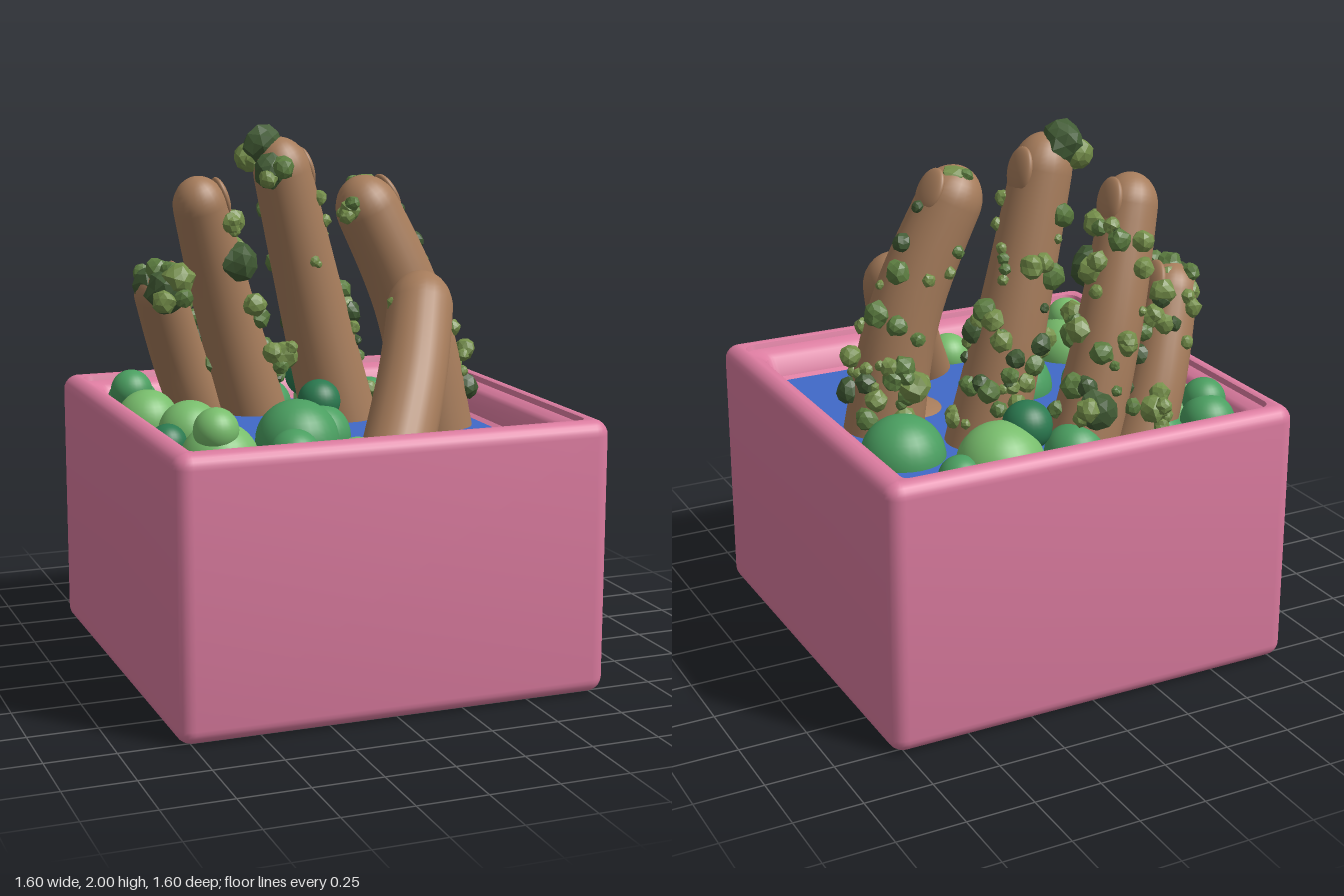
import * as THREE from 'three';
import { toCreasedNormals } from 'three/addons/utils/BufferGeometryUtils.js';

const V = (x, y, z) => new THREE.Vector3(x, y, z);
const paint = (name, color) => Object.assign(new THREE.MeshStandardMaterial({ color }), { name });

function seeded(seed) {
  return () => (seed = (seed * 16807) % 2147483647) / 2147483647;
}

// Skin a stack of closed rings, each counter-clockwise about the direction of travel
function loft(rings) {
  const n = rings[0].length, index = [];
  for (let i = 0; i < rings.length - 1; i++) {
    for (let j = 0; j < n; j++) {
      const k = (j + 1) % n, a = i * n + j, b = i * n + k;
      index.push(a, b, b + n, a, b + n, a + n);
    }
  }
  const geo = new THREE.BufferGeometry().setFromPoints(rings.flat());
  geo.setIndex(index);
  geo.computeVertexNormals();
  return geo;
}

// Rounded square ring of half width h and corner radius r at height y
function squareRing(h, y, r) {
  const ring = [];
  for (let c = 0; c < 4; c++) {
    const mid = Math.PI / 4 + c * Math.PI / 2;
    const cx = Math.sign(Math.cos(mid)) * (h - r), cz = Math.sign(Math.sin(mid)) * (h - r);
    for (let s = 0; s <= 6; s++) {
      const a = c * Math.PI / 2 + s * Math.PI / 12;
      ring.push(V(cx + r * Math.cos(a), y, -(cz + r * Math.sin(a))));
    }
  }
  return ring;
}

// Position, local axes and radius at t along a finger
function frameAt(f, t) {
  const T = f.curve.getTangent(t), side = V(1, 0, -0.15);
  const N = side.clone().addScaledVector(T, -side.dot(T)).normalize();
  const M = T.clone().cross(N);
  const cap = Math.max(0, (t - f.cap) / (1 - f.cap));
  const r = THREE.MathUtils.lerp(f.r0, f.r1, t) * Math.sqrt(Math.max(1e-5, 1 - cap * cap));
  return { P: f.curve.getPoint(t), T, N, M, r };
}

// Point on the finger's skin at t along and angle a around
function skinPoint(f, t, a) {
  const { P, N, M, r } = frameAt(f, t);
  return P.addScaledVector(N, r * Math.cos(a)).addScaledVector(M, r * Math.sin(a));
}

function fingerGeometry(f) {
  const ts = [];
  for (let i = 0; i <= 18; i++) ts.push(f.cap * i / 18);
  for (let i = 1; i <= 10; i++) ts.push(f.cap + (1 - f.cap) * Math.sin(i / 10 * Math.PI / 2));
  return loft(ts.map(t => Array.from({ length: 24 }, (_, j) => skinPoint(f, t, j / 12 * Math.PI))));
}

// Faceted, slightly lumpy clump
function clumpGeometry() {
  const geo = new THREE.IcosahedronGeometry(1, 1), p = geo.attributes.position;
  for (let i = 0; i < p.count; i++) {
    const v = V(0, 0, 0).fromBufferAttribute(p, i);
    v.multiplyScalar(1 + 0.1 * Math.sin(v.x * 7 + v.y * 5 + v.z * 9));
    p.setXYZ(i, v.x, v.y, v.z);
  }
  geo.computeVertexNormals();
  return geo;
}

export function createModel() {
  const root = new THREE.Group();
  const pink = paint('pink', 0xdb7b9f), blue = paint('blue', 0x4169c8), skin = paint('skin', 0xa67c5b);
  const bush = [paint('lightGreen', 0x78bd6c), paint('midGreen', 0x4a9e60), paint('deepGreen', 0x2b7a50)];
  const moss = [paint('lightMoss', 0x758f4a), paint('midMoss', 0x5c7d40), paint('darkMoss', 0x425c35)];
  const add = (name, geo, mat, parent = root) => {
    const m = new THREE.Mesh(geo, mat);
    m.name = name;
    parent.add(m);
    return m;
  };
  const group = name => {
    const g = new THREE.Group();
    g.name = name;
    root.add(g);
    return g;
  };

  // Open planter box with rounded edges and a stepped inner rim
  const profile = [[0.001, 0]], bevel = 0.055;
  for (const end of [0, 1]) {
    for (let i = 0; i <= 6; i++) {
      const a = (i / 6 + end - 1) * Math.PI / 2;
      profile.push([0.8 - bevel + bevel * Math.cos(a), end + bevel * (Math.sin(a) + 1 - 2 * end)]);
    }
  }
  const outer = profile.length;
  profile.push([0.735, 0.995], [0.73, 0.975], [0.69, 0.965], [0.675, 0.95], [0.655, 0.875], [0.625, 0.86], [0.62, 0.8]);
  const rings = profile.map(([h, y], i) =>
    squareRing(h, y, i >= outer ? 0.05 : Math.min(h * 0.5, Math.max(0.008, h - 0.74))));
  add('planter', toCreasedNormals(loft(rings), 0.6), pink);

  // Water surface
  add('water', new THREE.BoxGeometry(1.27, 0.03, 1.27), blue).position.y = 0.85;

  // Round bushes by shade: x, y, z, radius
  const ball = new THREE.SphereGeometry(1, 28, 20), bushes = group('bushes');
  const light = [
    [-.56, .87, -.39, .12], [-.47, .87, -.13, .12], [-.53, .88, .42, .14],
    [-.555, 1, .46, .08], [-.08, .88, .58, .085], [.25, .87, -.52, .16],
  ];
  const mid = [
    [-.57, .91, -.57, .1], [-.59, .97, -.51, .08], [-.35, .87, -.55, .12], [-.43, .87, .08, .095],
    [-.24, .87, .38, .095], [-.15, .87, .16, .155], [-.04, .87, .09, .12], [.42, .87, -.55, .08],
    [.51, .86, -.27, .155], [-.04, .87, -.53, .11],
  ];
  const deep = [[-.6, .87, .02, .07], [-.02, .99, .04, .08], [.13, .99, -.49, .09]];
  [light, mid, deep].forEach((list, shade) => list.forEach(([x, y, z, r]) => {
    const m = add('bush', ball, bush[shade], bushes);
    m.position.set(x, y, z);
    m.scale.setScalar(r);
  }));

  // Hand: base, middle and tip of each finger, radii, start of the round cap, moss count
  const hand = group('hand'), growth = group('moss');
  const fingers = [
    ['littleFinger', V(-.26, .75, -.56), V(-.4, 1.08, -.49), V(-.54, 1.46, -.36), .115, .095, .87, 24],
    ['ringFinger', V(-.07, .75, -.48), V(-.24, 1.3, -.42), V(-.39, 1.8, -.31), .135, .1, .89, 22],
    ['middleFinger', V(.2, .75, -.25), V(.06, 1.3, -.24), V(-.11, 1.95, -.19), .15, .105, .9, 40],
    ['indexFinger', V(.47, .75, .03), V(.36, 1.3, .02), V(.13, 1.81, 0), .15, .115, .88, 32],
    ['thumb', V(.04, .78, .58), V(.23, 1.14, .34), V(.37, 1.45, .1), .13, .12, .82, 0],
  ];
  const rand = seeded(4711), clump = clumpGeometry();
  const addMoss = (p, r, shade) => {
    const m = add('mossClump', clump, moss[shade], growth);
    m.position.copy(p);
    m.scale.setScalar(r);
    m.rotation.set(rand() * 6, rand() * 6, rand() * 6);
  };
  fingers.forEach(([name, a, b, c, r0, r1, cap, count]) => {
    const f = { curve: new THREE.CatmullRomCurve3([a, b, c]), r0, r1, cap };
    add(name, fingerGeometry(f), skin, hand);

    // Fingernail on the outer side
    if (name !== 'thumb') {
      const { P, T, N, M, r } = frameAt(f, 0.89);
      const nail = add('nail', ball, skin, hand);
      nail.position.copy(P).addScaledVector(N, r * 0.86);
      nail.quaternion.setFromRotationMatrix(new THREE.Matrix4().makeBasis(N, T, M.negate()));
      nail.scale.set(0.024, 0.085, 0.065);
    }

    // Moss scattered over the outer and back sides
    for (let i = 0; i < count; i++) {
      const p = skinPoint(f, 0.14 + 0.72 * Math.pow(rand(), 1.15), -0.7 + rand() * 2.7);
      addMoss(p, 0.018 + 0.032 * rand(), Math.floor(rand() * 2.4));
    }
  });

  // Palm just breaking the water
  const palm = add('palm', ball, skin, hand);
  palm.position.set(0.28, 0.79, 0.16);
  palm.scale.set(0.17, 0.1, 0.2);

  // Moss clusters: x, y, z, core radius, smaller lumps around a dark core
  [
    [-.14, 1.92, -.23, .078, 3], [-.14, 1.83, -.14, .065, 6], [-.5, 1.38, -.3, .085, 4],
    [-.54, 1.4, -.39, .07, 6], [-.22, 1.48, -.32, .08, 1], [-.26, 1.63, -.27, .04, 1],
    [-.15, 1.31, -.31, .045, 0], [-.1, 1.14, -.13, .055, 3], [.18, 1.77, -.02, .055, 2],
    [.09, 1.7, .07, .04, 3], [.02, 1.49, -.12, .025, 1], [.57, 1.15, .04, .04, 1],
    [.4, 1.37, .15, .035, 0], [.22, 1.36, .19, .03, 0], [.1, 1.06, .44, .022, 0],
    [.4, 1.06, -.13, .06, 3], [-.3, 1.02, -.63, .05, 2], [-.1, 1.04, -.58, .07, 3],
  ].forEach(([x, y, z, r, lumps]) => {
    addMoss(V(x, y, z), r, lumps > 2 && r > 0.06 || r === 0.08 ? 2 : 0);
    for (let i = 0; i < lumps; i++) {
      const dir = V(rand() - 0.5, (rand() - 0.5) * 0.9, rand() - 0.5).normalize();
      addMoss(V(x, y, z).addScaledVector(dir, r * 0.9), r * (0.45 + 0.3 * rand()), i % 2);
    }
  });

  return root;
}
